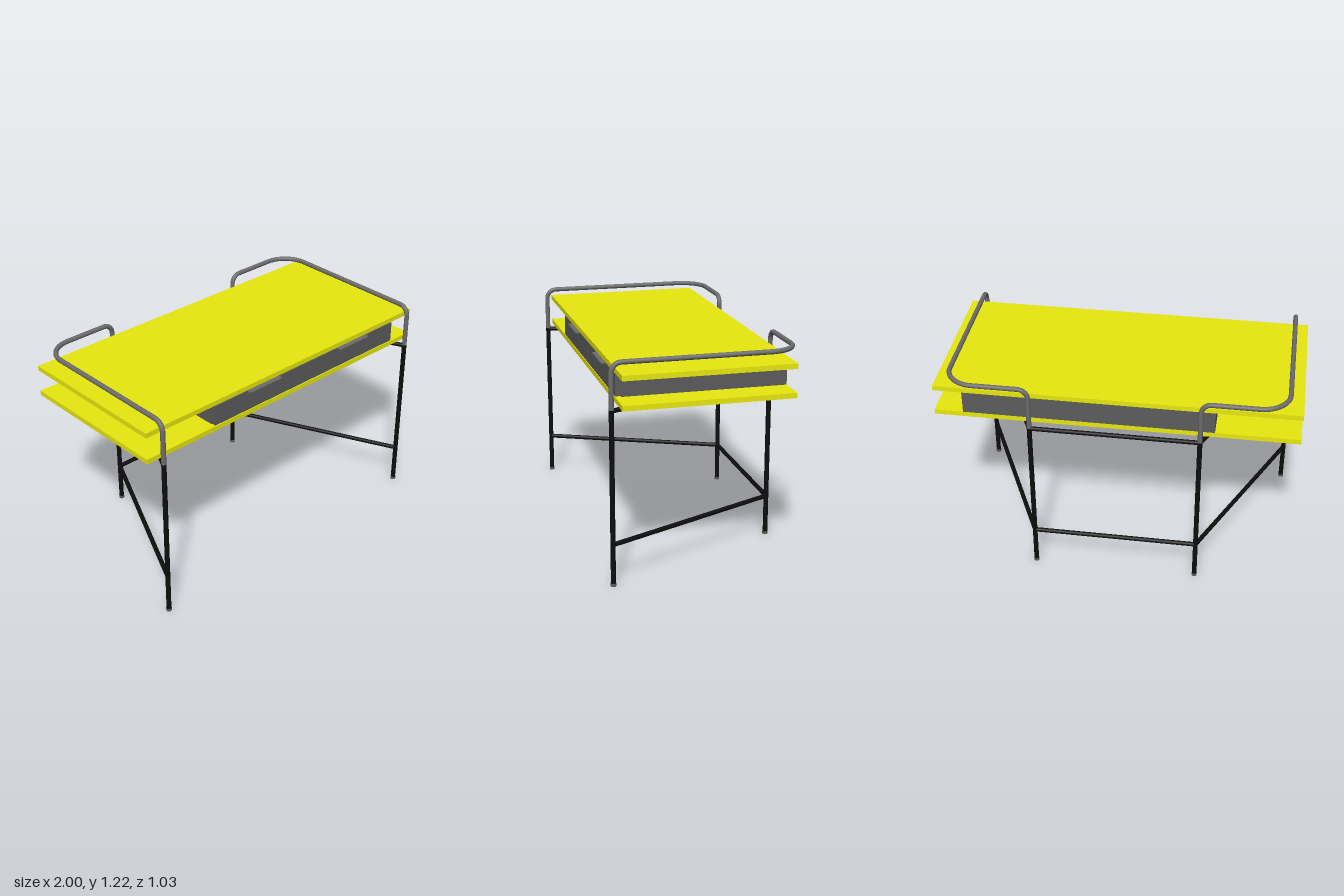
import * as THREE from 'three';

const yellow = new THREE.MeshStandardMaterial({ color: 0xe8e80f });
const black = new THREE.MeshStandardMaterial({ color: 0x0d0d0d });
const railGrey = new THREE.MeshStandardMaterial({ color: 0x6c6c6c });
const drawerGrey = new THREE.MeshStandardMaterial({ color: 0x5c5c5c });
const R = 0.0135; // tube radius
const V = (x, y, z) => new THREE.Vector3(x, y, z);

export function createModel() {
  const desk = new THREE.Group();
  desk.name = 'desk';

  const add = (name, geometry, material) => {
    const mesh = new THREE.Mesh(geometry, material);
    mesh.name = name;
    desk.add(mesh);
    return mesh;
  };

  // box given by its minimum and maximum corners
  const box = (name, min, max, material) => {
    const size = max.map((v, i) => v - min[i]);
    add(name, new THREE.BoxGeometry(...size), material)
      .position.set(...max.map((v, i) => (v + min[i]) / 2));
  };

  // straight round bar between two points
  const bar = (name, a, b, radius, material) => {
    const dir = b.clone().sub(a);
    const mesh = add(name, new THREE.CylinderGeometry(radius, radius, dir.length(), 16), material);
    mesh.position.copy(a).add(b).multiplyScalar(0.5);
    mesh.quaternion.setFromUnitVectors(V(0, 1, 0), dir.normalize());
  };

  // polyline with rounded corners
  const bentPath = (points, radii) => {
    const path = new THREE.CurvePath();
    let last = points[0];
    for (let i = 1; i < points.length - 1; i++) {
      const p = points[i], r = radii[i - 1];
      const toPrev = points[i - 1].clone().sub(p).normalize();
      const toNext = points[i + 1].clone().sub(p).normalize();
      const on = (d, s) => p.clone().addScaledVector(d, r * s);
      path.add(new THREE.LineCurve3(last, on(toPrev, 1)));
      path.add(new THREE.CubicBezierCurve3(on(toPrev, 1), on(toPrev, 0.448), on(toNext, 0.448), on(toNext, 1)));
      last = on(toNext, 1);
    }
    path.add(new THREE.LineCurve3(last, points[points.length - 1]));
    return path;
  };

  // two boards with the drawer case between them
  box('topBoard', [-1, 1.127, -0.46], [1, 1.155, 0.46], yellow);
  box('lowerBoard', [-1, 0.972, -0.46], [1, 1, 0.46], yellow);
  box('drawerCase', [-0.54, 1, -0.46], [0.84, 1.127, 0.43], drawerGrey);

  // drawer fronts with thin pull tabs
  for (const [x0, x1] of [[-0.54, 0.152], [0.156, 0.84]]) {
    const mid = (x0 + x1) / 2;
    box('drawerFront', [x0, 1.005, 0.43], [x1, 1.122, 0.46], drawerGrey);
    box('drawerPull', [mid - 0.116, 1.118, 0.4], [mid + 0.116, 1.124, 0.484], railGrey);
  }

  // side frames: legs, bent rail, stretchers and feet
  const fx = 0.925, bx = 0.465, fz = 0.5, bz = -0.5;
  const split = 0.96, top = 1.206, stretcherHeights = [0.955, 0.232];
  for (const s of [-1, 1]) {
    const rail = bentPath([
      V(s * fx, split, fz), V(s * fx, top, fz), V(s * fx, top, bz),
      V(s * bx, top, bz), V(s * bx, split, bz),
    ], [0.055, 0.155, 0.055]);
    add('guardRail', new THREE.TubeGeometry(rail, 180, R, 14, false), railGrey);

    for (const [x, z] of [[fx, fz], [bx, bz]]) {
      bar('leg', V(s * x, 0.01, z), V(s * x, split, z), R, black);
      bar('foot', V(s * x, 0, z), V(s * x, 0.016, z), 0.0155, drawerGrey);
    }
    for (const y of stretcherHeights) {
      bar('sideStretcher', V(s * fx, y, fz), V(s * bx, y, bz), 0.0125, black);
    }
    // pin joining the rear leg to the drawer case
    bar('rearPin', V(s * bx, 1.107, bz), V(s * bx, 1.107, -0.45), 0.009, railGrey);
  }
  for (const y of stretcherHeights) {
    bar('rearStretcher', V(-bx, y, bz), V(bx, y, bz), 0.0125, black);
  }
  return desk;
}
